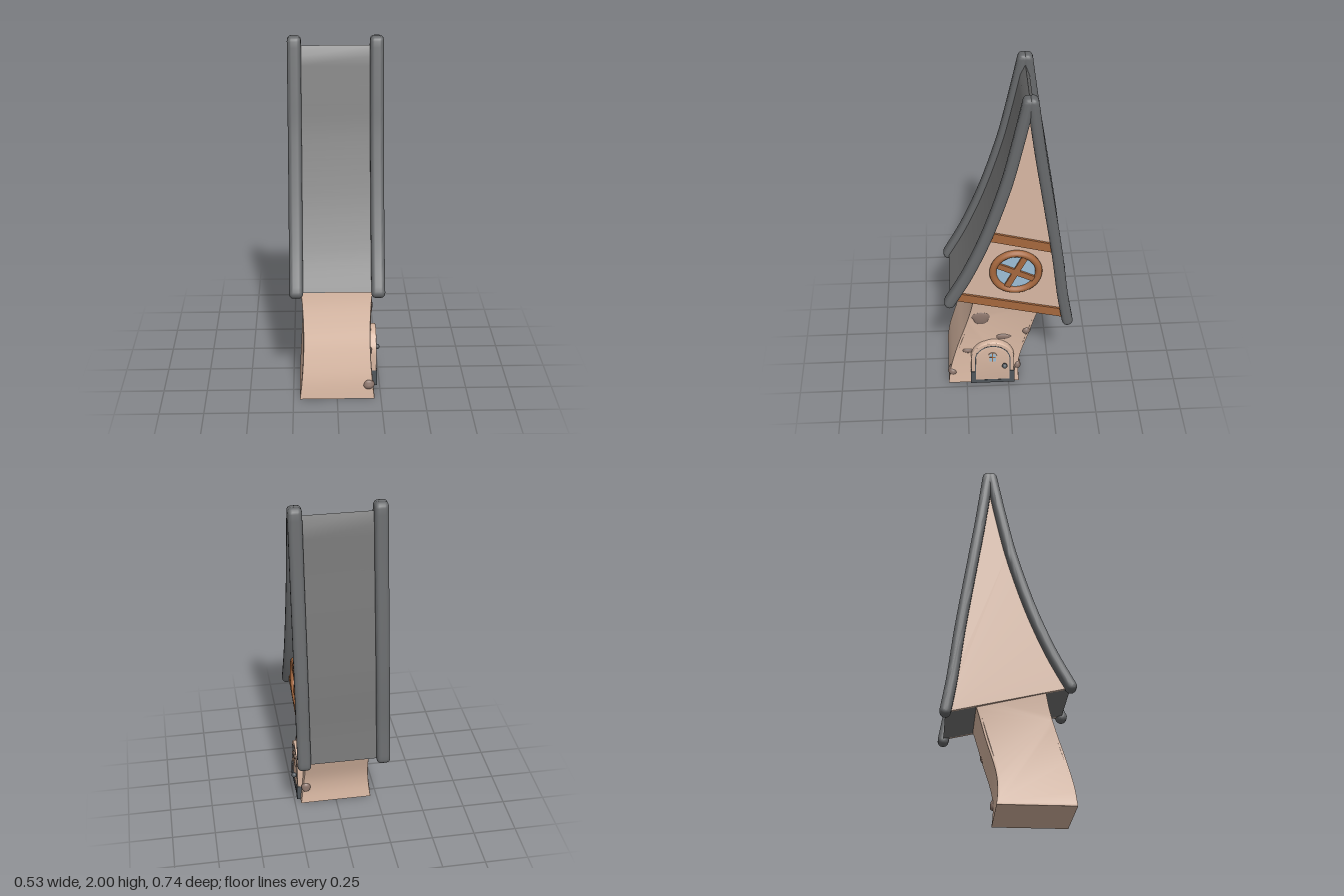
import * as THREE from 'three';
import { toCreasedNormals } from 'three/addons/utils/BufferGeometryUtils.js';

const mat = (name, color) => Object.assign(new THREE.MeshStandardMaterial({ color }), { name });
const V = (x, y) => new THREE.Vector2(x, y);
const spline = (pts, n = 28) => new THREE.SplineCurve(pts.map(p => V(...p))).getPoints(n);

// Outline of a path thickened by r, with round ends
function stroke(path, r) {
  const n = path.length - 1, left = [], right = [];
  const dir = path.map((p, i) => path[Math.min(i + 1, n)].clone().sub(path[Math.max(i - 1, 0)]).normalize());
  path.forEach((p, i) => {
    const d = dir[i];
    left.push(V(p.x - d.y * r, p.y + d.x * r));
    right.push(V(p.x + d.y * r, p.y - d.x * r));
  });
  const cap = (p, d) => {
    const a = Math.atan2(d.y, d.x), out = [];
    for (let k = 1; k < 8; k++) {
      const t = a + Math.PI / 2 - k * Math.PI / 8;
      out.push(V(p.x + r * Math.cos(t), p.y + r * Math.sin(t)));
    }
    return out;
  };
  return new THREE.Shape([...left, ...cap(path[n], dir[n]), ...right.reverse(), ...cap(path[0], dir[0].clone().negate())]);
}

// Round-topped doorway outline
function arch(cx, y0, half, top) {
  const pts = [V(cx - half, y0)];
  for (let k = 0; k <= 20; k++) {
    const t = Math.PI * (1 - k / 20);
    pts.push(V(cx + half * Math.cos(t), top - half + half * Math.sin(t)));
  }
  pts.push(V(cx + half, y0));
  return pts;
}

// Side-profile solid spanning z0..z1, with rounded edges of size b inside the outline
function slab(shape, z0, z1, b = 0) {
  const g = new THREE.ExtrudeGeometry(shape, {
    depth: z1 - z0 - 2 * b, bevelEnabled: b > 0, bevelSize: b, bevelThickness: b,
    bevelOffset: -b, bevelSegments: 4, curveSegments: 24,
  });
  return toCreasedNormals(g.translate(0, 0, z0 + b), 0.6);
}

export function createModel() {
  const wall = mat('plaster', 0xd9b8a3), roofMat = mat('roof grey', 0x757575), beam = mat('beam grey', 0x67696b);
  const wood = mat('wood', 0xa6683e), glass = mat('glass', 0x9dbfd6), stone = mat('stone', 0x8c756b);
  const metal = mat('dark metal', 0x50565b);

  // Everything is drawn in the side profile, then turned to face +x
  const house = new THREE.Group();
  house.name = 'house';
  house.rotation.y = Math.PI / 2;
  const add = (name, geo, m) => {
    const mesh = new THREE.Mesh(geo, m);
    mesh.name = name;
    house.add(mesh);
    return mesh;
  };

  // Leaning tower, slightly waisted
  const towerFront = spline([[-0.36, 0], [-0.343, 0.12], [-0.3, 0.28], [-0.257, 0.413], [-0.22, 0.545], [-0.195, 0.68]], 20);
  const towerBack = spline([[0.2, 0.6], [0.167, 0.524], [0.12, 0.36], [0.07, 0.2], [0.057, 0.095], [0.064, 0]], 20);
  const tower = slab(new THREE.Shape([...towerFront, ...towerBack]), -1, 1, 0.012);
  const tp = tower.attributes.position;
  for (let i = 0; i < tp.count; i++) {
    const half = 0.19 + 0.025 * (1 - tp.getY(i) / 0.35) ** 2;
    tp.setZ(i, tp.getZ(i) * half);
  }
  tower.computeVertexNormals();
  add('tower', toCreasedNormals(tower, 0.6), wall);

  // Roof core with curved slopes
  const slopeA = spline([[-0.336, 0.662], [-0.23, 0.863], [-0.12, 1.128], [-0.018, 1.446], [0.043, 1.7], [0.1, 1.967]]);
  const slopeB = spline([[0.339, 0.503], [0.305, 0.705], [0.268, 0.996], [0.206, 1.398], [0.165, 1.66], [0.123, 1.967]]);
  const gableOutline = () => new THREE.Shape([
    ...slopeA.filter(p => p.y < 1.93), V(0.111, 1.945), ...slopeB.filter(p => p.y < 1.93).reverse(),
  ]);
  add('roof', slab(gableOutline(), -0.2, 0.2), roofMat);

  // Gable walls and rounded roof beams at both ends
  for (const s of [1, -1]) {
    const span = (a, b) => (s > 0 ? [a, b] : [-b, -a]);
    add('gable', slab(gableOutline(), ...span(0.2, 0.216)), wall);
    add('frontRoofBeam', slab(stroke(slopeA, 0.031), ...span(0.189, 0.265), 0.023), beam);
    add('backRoofBeam', slab(stroke(slopeB, 0.031), ...span(0.189, 0.265), 0.023), beam);
  }

  // Timber bands across the gable
  const band = pts => slab(new THREE.Shape(pts.map(p => V(...p))), 0.21, 0.228);
  add('upperBand', band([[-0.127, 1.09], [0.258, 0.99], [0.255, 1.05], [-0.1, 1.143]]), wood);
  add('lowerBand', band([[-0.325, 0.67], [0.325, 0.513], [0.32, 0.573], [-0.305, 0.721]]), wood);

  // Round window with a tilted cross
  const win = new THREE.Group();
  win.name = 'roundWindow';
  win.position.set(0.04, 0.865, 0.216);
  win.rotation.z = -0.46;
  house.add(win);
  const pane = new THREE.Mesh(new THREE.CylinderGeometry(0.125, 0.125, 0.008, 40).rotateX(Math.PI / 2), glass);
  pane.name = 'windowPane';
  pane.position.z = 0.004;
  const ring = new THREE.Mesh(new THREE.TorusGeometry(0.129, 0.02, 12, 48), wood);
  ring.name = 'windowFrame';
  ring.position.z = 0.01;
  win.add(pane, ring);
  for (const [w, h] of [[0.24, 0.035], [0.035, 0.24]]) {
    const bar = new THREE.Mesh(new THREE.BoxGeometry(w, h, 0.02), wood);
    bar.name = 'windowBar';
    bar.position.z = 0.01;
    win.add(bar);
  }

  // Door, its surround and dark feet
  const cx = -0.095;
  const surround = new THREE.Shape(arch(cx, 0.012, 0.128, 0.33));
  surround.holes.push(new THREE.Path(arch(cx, 0.035, 0.104, 0.304)));
  add('doorSurround', slab(surround, 0.17, 0.23, 0.006), wall);
  add('door', slab(new THREE.Shape(arch(cx, 0.02, 0.1, 0.3)), 0.17, 0.225, 0.005), wall);
  const trim = new THREE.Shape(arch(cx, 0.03, 0.106, 0.306));
  trim.holes.push(new THREE.Path(arch(cx, 0.036, 0.1, 0.3)));
  add('doorTrim', slab(trim, 0.17, 0.231), metal);
  for (const s of [-1, 1]) {
    add('surroundFoot', new THREE.BoxGeometry(0.028, 0.095, 0.07), metal).position.set(cx + s * 0.117, 0.0575, 0.199);
  }
  add('doorSill', new THREE.BoxGeometry(0.24, 0.022, 0.064), metal).position.set(cx, 0.021, 0.2);

  // Little arched window in the door
  add('doorPane', slab(new THREE.Shape(arch(cx, 0.178, 0.02, 0.245)), 0.222, 0.228), glass);
  const peepFrame = new THREE.Shape(arch(cx, 0.174, 0.025, 0.25));
  peepFrame.holes.push(new THREE.Path(arch(cx, 0.179, 0.019, 0.244)));
  add('doorPaneFrame', slab(peepFrame, 0.22, 0.23), wall);
  add('doorPaneBar', new THREE.BoxGeometry(0.005, 0.065, 0.006), wood).position.set(cx, 0.21, 0.227);
  add('doorPaneBar', new THREE.BoxGeometry(0.04, 0.005, 0.006), wood).position.set(cx, 0.213, 0.227);

  // Door knob
  add('doorKnob', new THREE.SphereGeometry(0.016, 16, 12), metal).position.set(-0.024, 0.153, 0.243);
  add('knobStem', new THREE.CylinderGeometry(0.007, 0.007, 0.03, 12).rotateX(Math.PI / 2), metal).position.set(-0.024, 0.153, 0.228);

  // Lumpy stones set in the plaster: x, y, z, radii
  const stones = [
    [-0.16, 0.5, 0.193, 0.052, 0.048, 0.012], [-0.03, 0.345, 0.189, 0.047, 0.021, 0.012],
    [0.105, 0.385, 0.172, 0.028, 0.031, 0.033], [-0.24, 0.243, 0.191, 0.032, 0.017, 0.012],
    [-0.333, 0.08, 0.179, 0.03, 0.031, 0.035], [0.053, 0.115, 0.182, 0.022, 0.032, 0.028],
  ];
  stones.forEach(([x, y, z, rx, ry, rz], k) => {
    const g = new THREE.SphereGeometry(1, 20, 14), p = g.attributes.position;
    for (let i = 0; i < p.count; i++) {
      const a = Math.atan2(p.getY(i), p.getX(i));
      const flat = Math.hypot(p.getX(i), p.getY(i));
      const f = 1 + flat * (0.07 * Math.sin(3 * a + k * 2) + 0.05 * Math.sin(5 * a + k));
      p.setXYZ(i, p.getX(i) * f * rx, p.getY(i) * f * ry, p.getZ(i) * rz);
    }
    g.computeVertexNormals();
    add('stone', g, stone).position.set(x, y, z);
  });

  const model = new THREE.Group();
  model.name = 'crookedHouse';
  model.add(house);
  return model;
}
